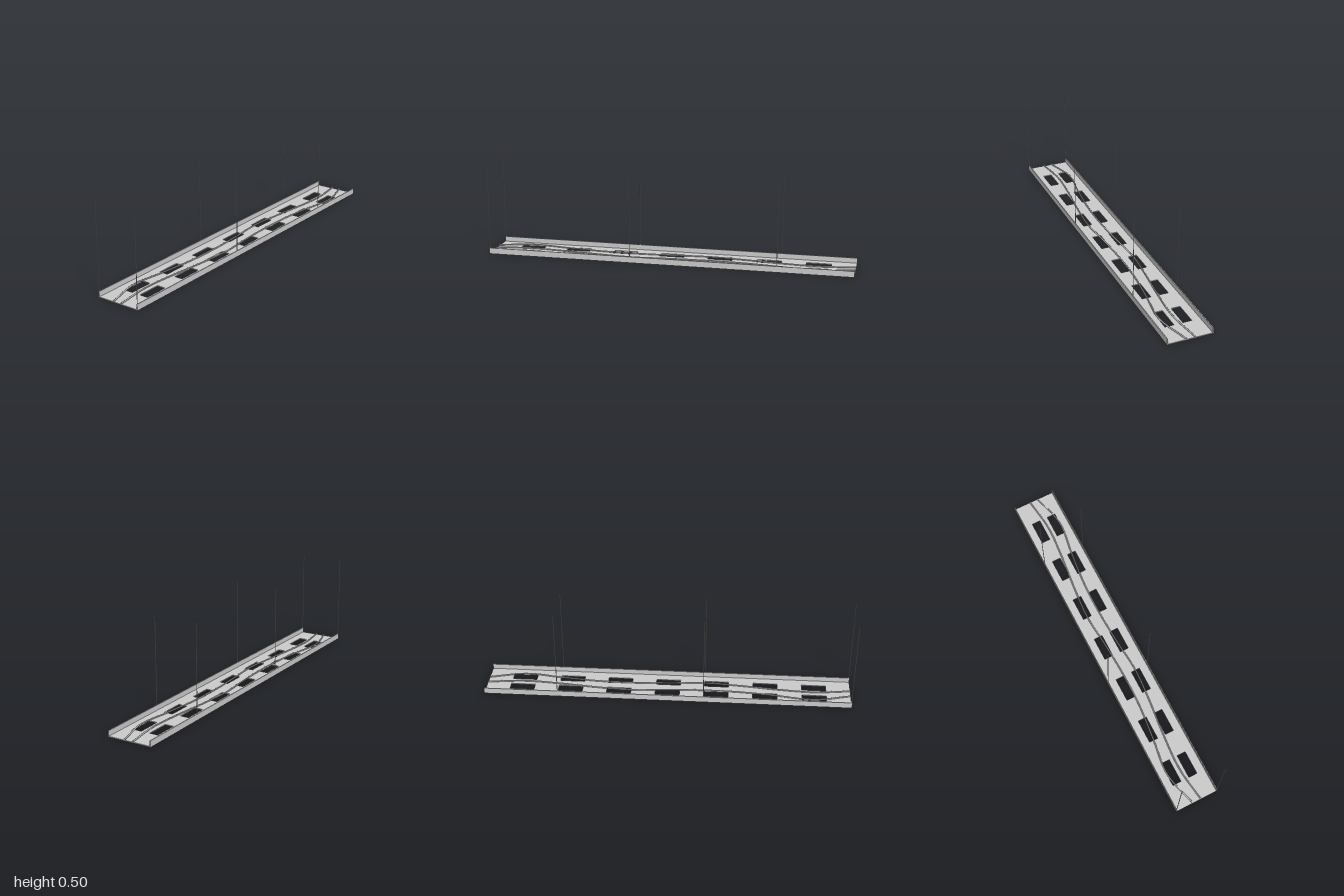
import * as THREE from 'three';

const material = new THREE.MeshStandardMaterial({ color: 0xcccccc });
const HALF_LENGTH = 0.999;
const HALF_WIDTH = 0.124;
const SHEET = 0.005;

function add(group, name, geometry, x = 0, y = 0, z = 0) {
  const mesh = new THREE.Mesh(geometry, material);
  mesh.name = name;
  mesh.position.set(x, y, z);
  group.add(mesh);
  return mesh;
}

function rectangle(path, cx, cy, w, h) {
  path.moveTo(cx - w / 2, cy - h / 2);
  path.lineTo(cx + w / 2, cy - h / 2);
  path.lineTo(cx + w / 2, cy + h / 2);
  path.lineTo(cx - w / 2, cy + h / 2);
  path.closePath();
  return path;
}

export function createModel() {
  const tray = new THREE.Group();
  tray.name = 'cableTray';

  // Floor plate with two rows of seven slots
  const plate = rectangle(new THREE.Shape(), 0, 0, 2 * HALF_LENGTH, 2 * HALF_WIDTH);
  for (let i = -3; i <= 3; i++) {
    for (const side of [-1, 1]) {
      plate.holes.push(rectangle(new THREE.Path(), i * 0.8 / 3, side * 0.0485, 0.133, 0.049));
    }
  }
  const floor = new THREE.ExtrudeGeometry(plate, { depth: SHEET, bevelEnabled: false });
  floor.rotateX(-Math.PI / 2);
  add(tray, 'floor', floor);

  // Each side mirrors the other: wall, hanger rods and a cable
  const cableZ = [0.024, 0.072, 0.049, 0.028, 0.024, 0.033, 0.048, 0.034, 0.012, 0, 0.024];
  const cableX = [-1, -0.8, -0.6, -0.4, -0.2, 0, 0.2, 0.4, 0.6, 0.8, 1];
  for (const side of [-1, 1]) {
    const label = side > 0 ? 'front' : 'back';
    add(tray, label + 'Wall', new THREE.BoxGeometry(2 * HALF_LENGTH, 0.033, SHEET),
      0, 0.0165, side * (HALF_WIDTH - SHEET / 2));

    for (const x of [-0.995, -0.2, 0.595]) {
      add(tray, label + 'HangerRod', new THREE.CylinderGeometry(0.002, 0.002, 0.49, 8),
        x, 0.255, side * (HALF_WIDTH - SHEET / 2));
    }

    // Winding cable; the front one is the back one turned half round
    const points = cableX.map((x, i) => new THREE.Vector3(-side * x, 0.01, side * cableZ[i]));
    const curve = new THREE.CatmullRomCurve3(points);
    add(tray, label + 'Cable', new THREE.TubeGeometry(curve, 80, 0.004, 8));
    for (const t of [0, 1]) {
      const end = curve.getPoint(t);
      const cap = add(tray, label + 'CableEnd', new THREE.CircleGeometry(0.004, 8), end.x, end.y, end.z);
      cap.lookAt(end.clone().addScaledVector(curve.getTangent(t), t ? 1 : -1));
    }
  }
  return tray;
}
